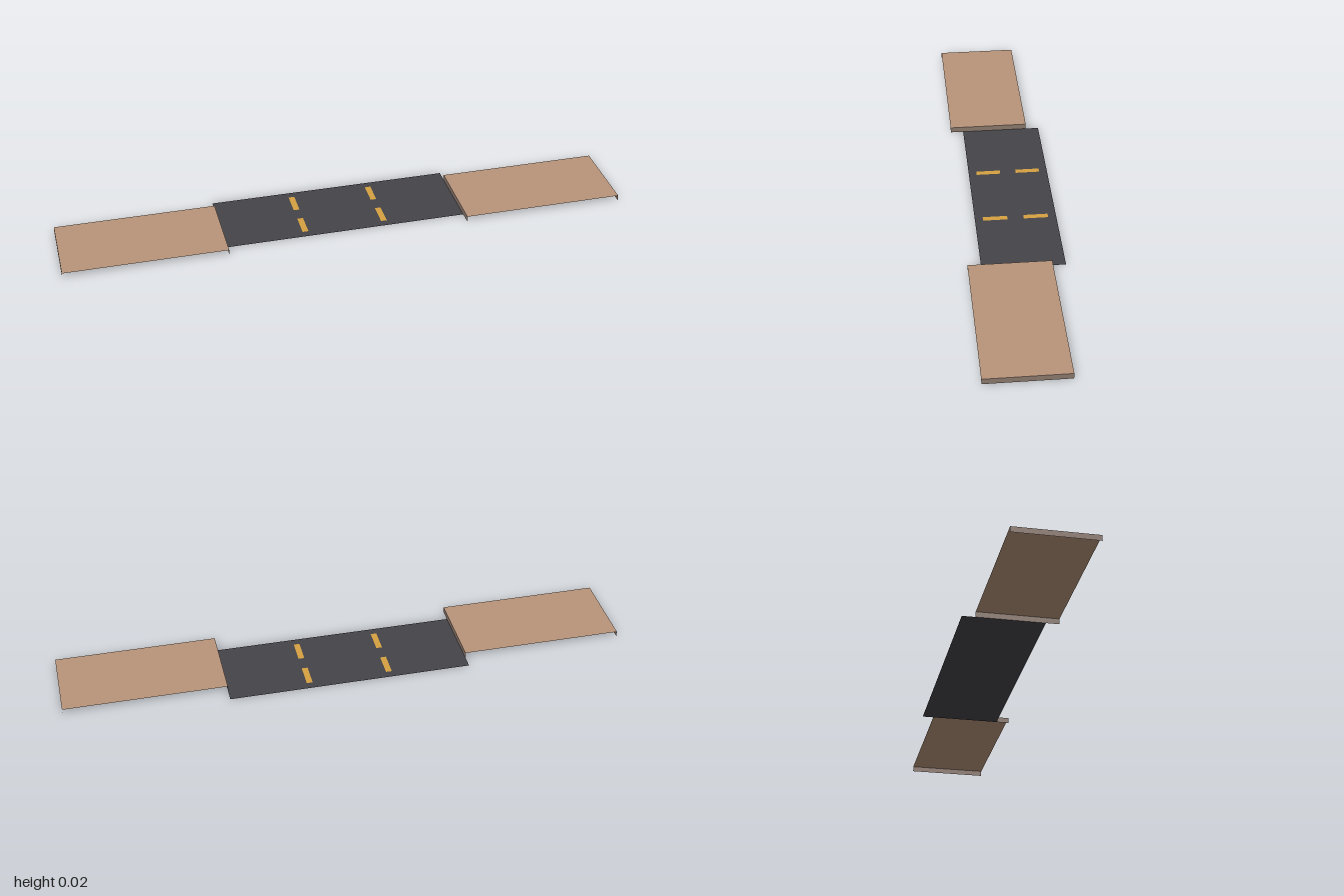
import * as THREE from 'three';

const TILE = 2 / 7;      // road is 3 tiles wide, each pavement 2
const KERB = 0.02;       // pavement height
const SHIFT = 0.0235;    // pavements and road are staggered in z

const mat = (name, color) => {
  const m = new THREE.MeshStandardMaterial({ color, side: THREE.DoubleSide });
  m.name = name;
  return m;
};

export function createModel() {
  const group = new THREE.Group();
  const paving = mat('paving tan', 0xb8957a);
  const kerbStone = mat('kerb grey brown', 0x8a776c);
  const asphalt = mat('asphalt', 0x454449);
  const paint = mat('lane paint', 0xd5a040);

  const add = (name, geometry, material, x, y, z) => {
    const mesh = new THREE.Mesh(geometry, material);
    mesh.name = name;
    mesh.position.set(x, y, z);
    group.add(mesh);
  };
  const flat = (w, d) => new THREE.PlaneGeometry(w, d).rotateX(-Math.PI / 2);
  const wall = (side) => new THREE.PlaneGeometry(TILE, KERB).rotateY(side * Math.PI / 2);

  // Road surface
  add('road', flat(3 * TILE, TILE), asphalt, 0, 0, -SHIFT);

  for (const side of [-1, 1]) {
    const label = side > 0 ? 'left' : 'right';

    // Raised pavement: open underneath, with a kerb at each end
    add(label + 'Pavement', flat(2 * TILE, TILE), paving, side * 2.5 * TILE, KERB, SHIFT);
    add(label + 'OuterKerb', wall(side), kerbStone, side * 3.5 * TILE, KERB / 2, SHIFT);
    add(label + 'InnerKerb', wall(-side), kerbStone, side * 1.5 * TILE, KERB / 2, SHIFT);

    // Two lane dashes on each tile border
    for (const end of [-1, 1]) {
      add(label + 'LaneDash', flat(0.021, 0.086), paint,
        side * TILE / 2, 0.0004, -SHIFT + end * TILE / 4);
    }
  }
  return group;
}
